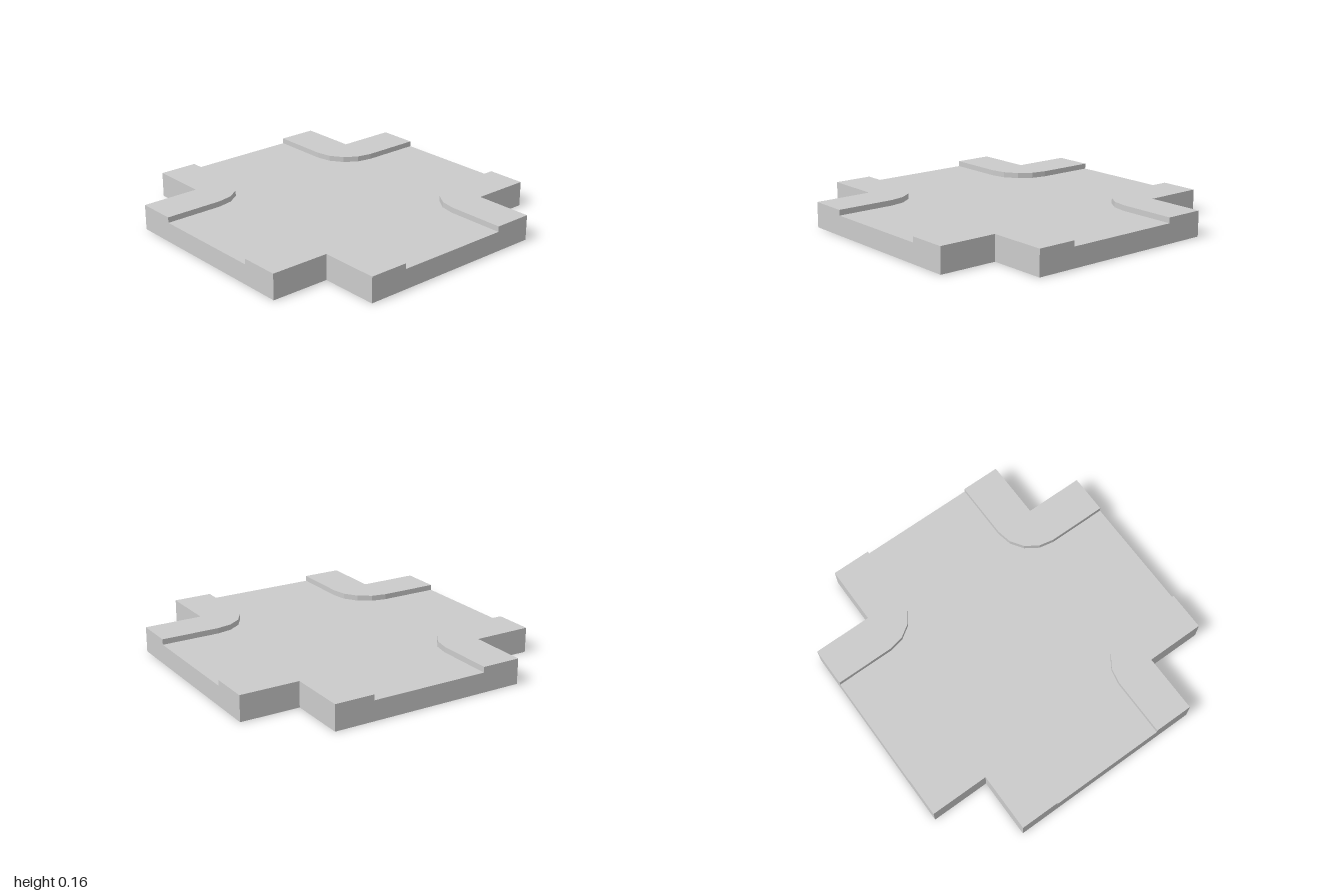
import * as THREE from 'three';

const HALF = 1;        // half length of each road arm
const OUTER = 0.625;   // half width of an arm with its pavements
const KERB = 0.375;    // half width of the carriageway
const ROAD_TOP = 0.125;
const PAVEMENT_TOP = 0.16;

const material = new THREE.MeshStandardMaterial({ color: 0xcccccc, flatShading: true });

// Extrude a plan shape upwards from y = bottom to y = top
function slab(name, shape, bottom, top) {
  const geometry = new THREE.ExtrudeGeometry(shape, {
    depth: top - bottom,
    bevelEnabled: false,
    curveSegments: 2, // gives four facets per rounded corner
  });
  geometry.rotateX(-Math.PI / 2);
  geometry.translate(0, bottom, 0);
  const mesh = new THREE.Mesh(geometry, material);
  mesh.name = name;
  return mesh;
}

export function createModel() {
  const group = new THREE.Group();
  group.name = 'roadCrossing';

  // Cross-shaped road bed
  const cross = new THREE.Shape([
    [OUTER, HALF], [-OUTER, HALF], [-OUTER, OUTER], [-HALF, OUTER],
    [-HALF, -OUTER], [-OUTER, -OUTER], [-OUTER, -HALF], [OUTER, -HALF],
    [OUTER, -OUTER], [HALF, -OUTER], [HALF, OUTER], [OUTER, OUTER],
  ].map(([x, y]) => new THREE.Vector2(x, y)));
  group.add(slab('roadBed', cross, 0, ROAD_TOP));

  // Raised L-shaped pavement with a rounded kerb
  const corner = new THREE.Shape();
  corner.moveTo(KERB, HALF);
  corner.lineTo(KERB, OUTER);
  corner.absarc(OUTER, OUTER, OUTER - KERB, Math.PI, Math.PI * 1.5, false);
  corner.lineTo(HALF, KERB);
  corner.lineTo(HALF, OUTER);
  corner.lineTo(OUTER, OUTER);
  corner.lineTo(OUTER, HALF);
  corner.closePath();

  // One pavement at each corner of the crossing
  const names = ['backLeftPavement', 'backRightPavement', 'frontRightPavement', 'frontLeftPavement'];
  names.forEach((name, i) => {
    const pavement = slab(name, corner, ROAD_TOP, PAVEMENT_TOP);
    pavement.rotation.y = i * Math.PI / 2;
    group.add(pavement);
  });

  return group;
}
